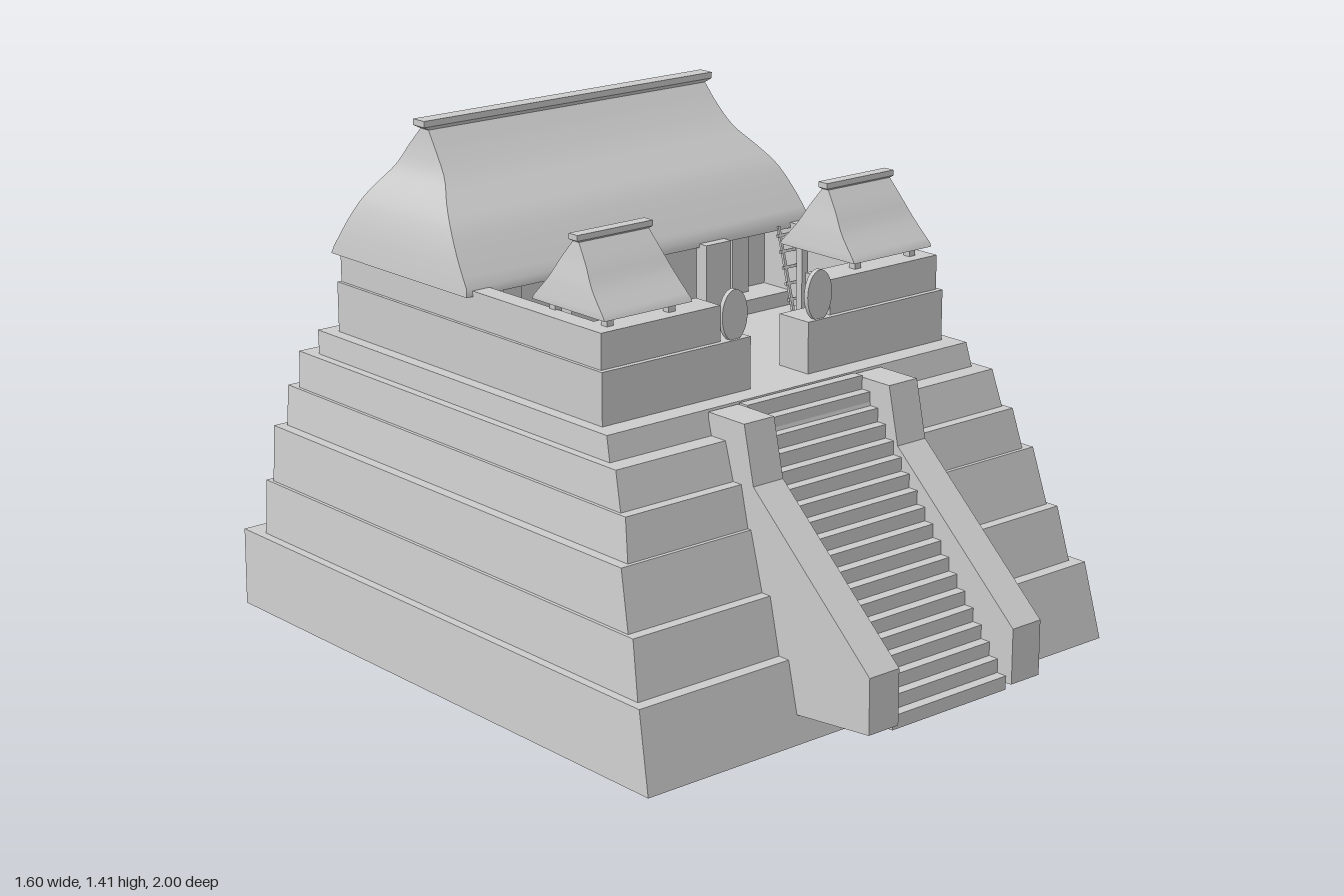
import * as THREE from 'three';
import { toCreasedNormals } from 'three/addons/utils/BufferGeometryUtils.js';

const stone = new THREE.MeshStandardMaterial({ color: 0xcccccc, side: THREE.DoubleSide });

function add(parent, name, geometry, x = 0, y = 0, z = 0) {
  const mesh = new THREE.Mesh(geometry, stone);
  mesh.name = name;
  mesh.position.set(x, y, z);
  parent.add(mesh);
  return mesh;
}

// Box given by its extents on each axis
function block(parent, name, x0, x1, y0, y1, z0, z1) {
  return add(parent, name, new THREE.BoxGeometry(x1 - x0, y1 - y0, z1 - z0),
    (x0 + x1) / 2, (y0 + y1) / 2, (z0 + z1) / 2);
}

// Stack of rectangular sections [y, half width, front z, back z]
function loft(sections, bottom = true, crease = 0.45) {
  const pos = [], index = [];
  for (const [y, w, f, b] of sections) pos.push(-w, y, f, w, y, f, w, y, b, -w, y, b);
  for (let s = 0; s < sections.length - 1; s++) {
    for (let i = 0; i < 4; i++) {
      const a = s * 4 + i, c = s * 4 + (i + 1) % 4;
      index.push(a, c, c + 4, a, c + 4, a + 4);
    }
  }
  const t = (sections.length - 1) * 4;
  index.push(t, t + 1, t + 2, t, t + 2, t + 3);
  if (bottom) index.push(0, 2, 1, 0, 3, 2);
  const g = new THREE.BufferGeometry();
  g.setAttribute('position', new THREE.Float32BufferAttribute(pos, 3));
  g.setIndex(index);
  return toCreasedNormals(g, crease);
}

// Sections of a roof refined through a smooth curve, with a sharp ridge cap
function roofGeometry(eave, curvePoints, ridge) {
  const widths = new THREE.CatmullRomCurve3(curvePoints.map(([y, w]) => new THREE.Vector3(w, y, 0)));
  const depths = new THREE.CatmullRomCurve3(curvePoints.map(([y, , f, b]) => new THREE.Vector3(f, y, b)));
  const sections = [eave];
  for (let i = 0; i <= 16; i++) {
    const w = widths.getPoint(i / 16), d = depths.getPoint(i / 16);
    sections.push([d.y, w.x, d.x, d.z]);
  }
  return loft([...sections, ...ridge], true, 0.6);
}

function createModel() {
  const model = new THREE.Group();
  model.name = 'steppedTemple';

  // Six battered terraces; the lowest is open underneath
  const tiers = [
    [0, 0.21, 0.80, 0.785, 0.76, 0.71, -0.98, -1.0],
    [0.21, 0.36, 0.76, 0.745, 0.675, 0.64, -0.93, -0.94],
    [0.36, 0.515, 0.735, 0.72, 0.61, 0.567, -0.92, -0.93],
    [0.515, 0.625, 0.69, 0.675, 0.556, 0.53, -0.91, -0.92],
    [0.625, 0.725, 0.665, 0.655, 0.50, 0.47, -0.88, -0.89],
    [0.725, 0.79, 0.63, 0.625, 0.417, 0.40, -0.83, -0.84],
  ];
  tiers.forEach(([y0, y1, w0, w1, f0, f1, b0, b1], i) =>
    add(model, `terrace${i + 1}`, loft([[y0, w0, f0, b0], [y1, w1, f1, b1]], i > 0)));

  // Stairs
  const stairs = new THREE.Group();
  stairs.name = 'stairs';
  model.add(stairs);
  const steps = 19, rise = 0.71 / steps, run = 0.57 / steps;
  const stairShape = new THREE.Shape();
  stairShape.moveTo(0.57, 0.06);
  stairShape.lineTo(0.98, 0.08);
  for (let i = 0; i < steps; i++) {
    const z = 0.98 - i * run, y = 0.08 + (i + 1) * rise;
    stairShape.lineTo(z, y);
    stairShape.lineTo(z - run, y);
  }
  stairShape.lineTo(0.41, 0.5);
  // A profile drawn in (z, y), extruded across x
  const across = (shape, width) => new THREE.ExtrudeGeometry(shape, { depth: width, bevelEnabled: false })
    .rotateY(-Math.PI / 2).translate(width / 2, 0, 0);
  add(stairs, 'steps', across(stairShape, 0.4));

  // Sloping balustrades with upright heads
  const railShape = new THREE.Shape([[0.57, 0.055], [1, 0.10], [1, 0.25], [0.575, 0.63],
    [0.54, 0.785], [0.405, 0.785], [0.405, 0.5]].map(([z, y]) => new THREE.Vector2(z, y)));
  for (const s of [-1, 1]) add(stairs, 'balustrade', across(railShape, 0.1), s * 0.25);

  // Courtyard walls, lower course wider than the upper
  for (const s of [-1, 1]) {
    const side = (name, a, b, ...rest) => block(model, name, Math.min(s * a, s * b), Math.max(s * a, s * b), ...rest);
    side('sideWallLower', 0.525, 0.59, 0.79, 0.93, -0.79, 0.34);
    side('sideWallUpper', 0.525, 0.58, 0.93, 1.025, -0.785, 0.325);
    side('frontWallLower', 0.10, 0.526, 0.79, 0.93, 0.23, 0.34);
    side('frontWallUpper', 0.19, 0.526, 0.93, 1.025, 0.23, 0.325);

    // Oval shield beside the entrance
    const shield = add(model, 'ovalShield', new THREE.CylinderGeometry(1, 1, 0.014, 32).rotateX(Math.PI / 2),
      s * 0.147, 0.993, 0.325);
    shield.scale.set(0.043, 0.068, 1);

    // Corner watchtower: four posts and a flared roof
    const tower = new THREE.Group();
    tower.name = 'watchtower';
    tower.position.set(s * 0.422, 0, 0.175);
    model.add(tower);
    for (const x of [-0.1, 0.1]) {
      for (const z of [-0.1, 0.105]) block(tower, 'towerPost', x - 0.011, x + 0.011, 0.79, 1.07, z - 0.011, z + 0.011);
    }
    add(tower, 'towerRoof', roofGeometry([1.05, 0.142, 0.145, -0.142],
      [[1.06, 0.142, 0.14, -0.137], [1.12, 0.133, 0.085, -0.083], [1.17, 0.122, 0.05, -0.05],
        [1.22, 0.113, 0.012, -0.012]],
      [[1.225, 0.122, 0.017, -0.017], [1.24, 0.122, 0.017, -0.017]]));

    // Porch pillar of the main house
    side('porchPillar', 0.19, 0.28, 0.79, 1.02, -0.205, -0.165);
  }
  block(model, 'backWallLower', -0.526, 0.526, 0.79, 0.93, -0.79, -0.73);
  block(model, 'backWallUpper', -0.526, 0.526, 0.93, 1.02, -0.785, -0.73);
  block(model, 'backSill', -0.57, 0.57, 0.79, 0.805, -0.81, -0.78);

  // Main house
  block(model, 'housePlinth', -0.526, 0.526, 0.79, 0.83, -0.73, -0.19);
  block(model, 'houseBody', -0.526, 0.526, 0.83, 1.02, -0.73, -0.30);
  for (const x of [-0.4, -0.075, 0.075, 0.4]) block(model, 'housePanel', x - 0.03, x + 0.03, 0.83, 1.02, -0.30, -0.26);
  add(model, 'mainRoof', roofGeometry([1.01, 0.60, -0.193, -0.80],
    [[1.03, 0.598, -0.195, -0.79], [1.10, 0.588, -0.245, -0.745], [1.17, 0.568, -0.30, -0.70],
      [1.22, 0.538, -0.355, -0.665], [1.27, 0.502, -0.41, -0.628], [1.33, 0.487, -0.465, -0.585],
      [1.38, 0.481, -0.505, -0.54]],
    [[1.39, 0.50, -0.498, -0.546], [1.407, 0.50, -0.498, -0.546]]));

  // Clay pots in the courtyard
  const potProfile = [[0, 0], [0.022, 0], [0.04, 0.028], [0.038, 0.045], [0.022, 0.062], [0.03, 0.075], [0.02, 0.07], [0.018, 0.05], [0, 0.045]]
    .map(([r, y]) => new THREE.Vector2(r, y));
  for (const [x, z] of [[-0.27, -0.12], [-0.16, -0.12], [-0.16, 0.18]]) {
    add(model, 'pot', new THREE.LatheGeometry(potProfile, 24), x, 0.79, z);
  }

  // Ladder up to the wall by the house
  const ladder = new THREE.Group();
  ladder.name = 'ladder';
  ladder.position.set(0.51, 0.79, -0.13);
  ladder.rotation.x = -0.27;
  model.add(ladder);
  for (const x of [-0.03, 0.03]) block(ladder, 'ladderRail', x - 0.004, x + 0.004, 0, 0.24, -0.004, 0.004);
  for (let i = 0; i < 5; i++) block(ladder, 'ladderRung', -0.04, 0.04, 0.03 + i * 0.045, 0.038 + i * 0.045, -0.004, 0.004);

  return model;
}

export { createModel };
